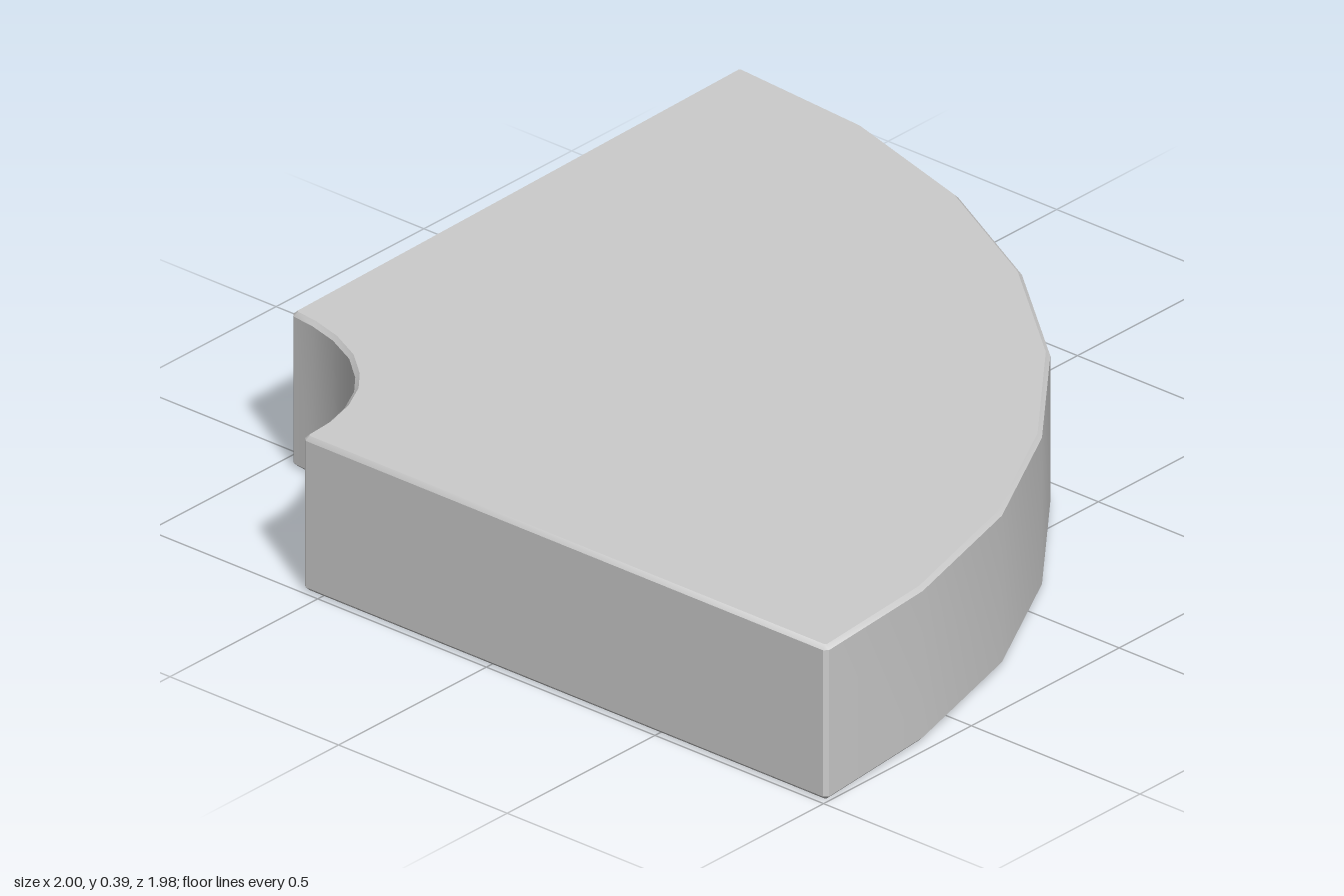
import * as THREE from 'three';
import { toCreasedNormals } from 'three/addons/utils/BufferGeometryUtils.js';

const HEIGHT = 0.388;
const BEVEL = 0.01;

// Plan outline as [x, z]: outer arc, then inner arc back again
const outerArc = [
  [-0.998, -0.995], [-0.604, -0.965], [-0.225, -0.853], [0.128, -0.666], [0.433, -0.414],
  [0.68, -0.104], [0.861, 0.238], [0.968, 0.628], [1, 0.99],
];
const innerArc = [
  [-0.555, 0.99], [-0.561, 0.9], [-0.583, 0.815], [-0.62, 0.74], [-0.663, 0.687],
  [-0.733, 0.628], [-0.818, 0.586], [-0.898, 0.564], [-0.97, 0.555],
];

// Replaces each sharp corner of a closed outline by a small chamfer
function chamferCorners(points, size) {
  return points.flatMap((p, i) => {
    const prev = points[(i + points.length - 1) % points.length];
    const next = points[(i + 1) % points.length];
    const toPrev = prev.clone().sub(p).normalize();
    const toNext = next.clone().sub(p).normalize();
    if (toPrev.dot(toNext) < -0.7) return [p];
    return [p.clone().addScaledVector(toPrev, size), p.clone().addScaledVector(toNext, size)];
  });
}

export function createModel() {
  const group = new THREE.Group();
  group.name = 'curvedCornerBlock';

  // Quarter-ring slab with thin bevelled edges
  const outline = [...outerArc, ...innerArc].map(([x, z]) => new THREE.Vector2(x, -z));
  const slab = new THREE.ExtrudeGeometry(new THREE.Shape(chamferCorners(outline, 0.01)), {
    depth: HEIGHT - 2 * BEVEL,
    bevelEnabled: true,
    bevelThickness: BEVEL,
    bevelSize: BEVEL,
    bevelOffset: -BEVEL,
    bevelSegments: 1,
  });
  slab.rotateX(-Math.PI / 2);
  slab.translate(0, BEVEL, 0);

  const mesh = new THREE.Mesh(
    toCreasedNormals(slab, 0.6),
    new THREE.MeshStandardMaterial({ color: 0xcccccc }),
  );
  mesh.name = 'quarterRingSlab';
  group.add(mesh);
  return group;
}
